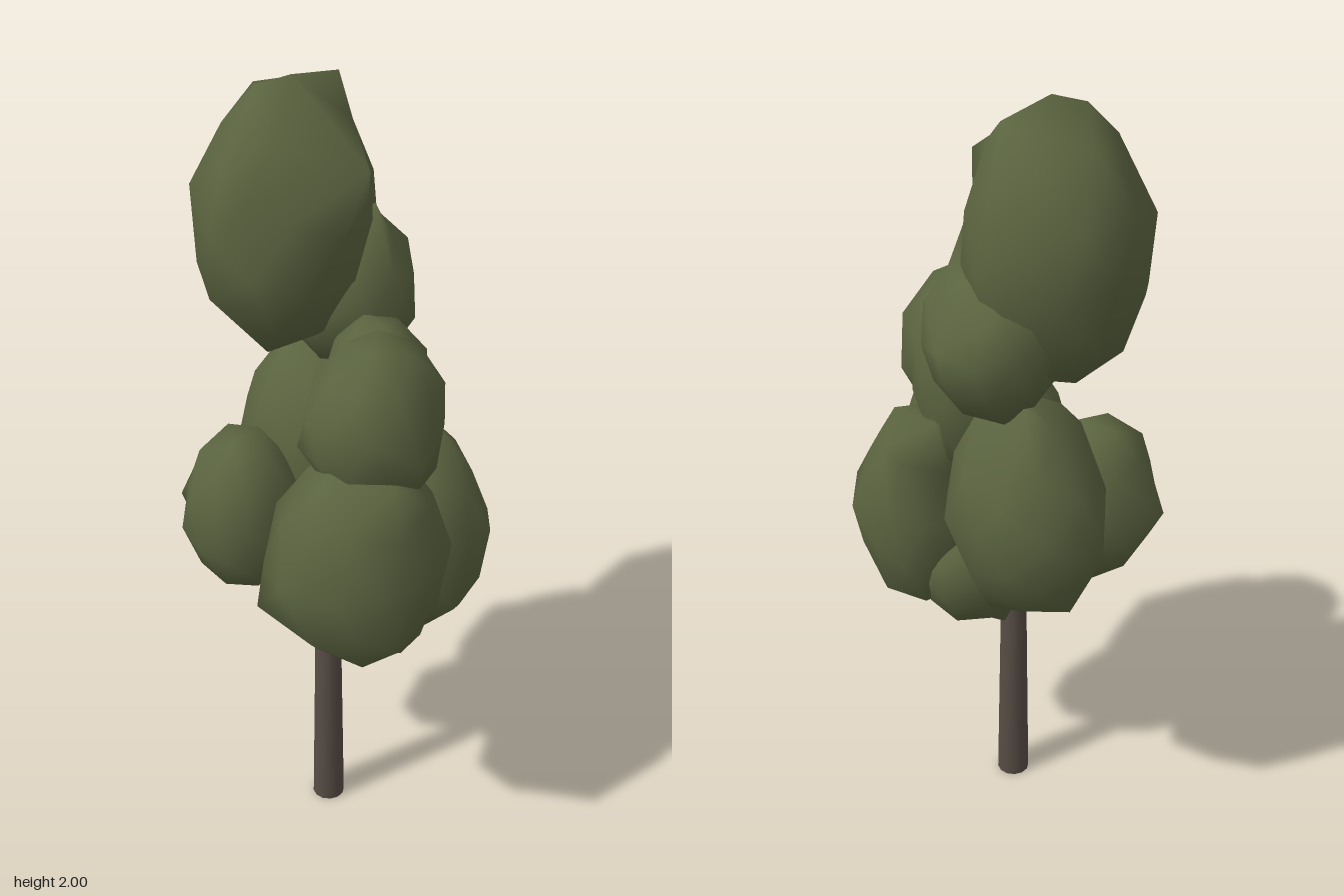
import * as THREE from 'three';
import { mergeVertices } from 'three/addons/utils/BufferGeometryUtils.js';

// Small seeded generator for the uneven leaf clumps
function seeded(seed) {
  let s = seed;
  return () => {
    s = (s * 16807) % 2147483647;
    return s / 2147483647;
  };
}

// Share corners between faces so that shading runs smoothly over them
function weld(geo) {
  geo.deleteAttribute('normal');
  geo.deleteAttribute('uv');
  return mergeVertices(geo, 1e-3);
}

// Lumpy smooth clump filling the box between lo and hi, with corners pulled to the tips
function clumpGeometry(lo, hi, tips, seed) {
  const rand = seeded(seed * 7919 + 13);
  for (let i = 0; i < 5; i++) rand();
  const geo = weld(new THREE.IcosahedronGeometry(1, 1));
  geo.rotateY(rand() * 6).rotateX(rand() * 6);

  const pos = geo.attributes.position;
  const v = new THREE.Vector3();
  for (let i = 0; i < pos.count; i++) {
    v.fromBufferAttribute(pos, i).multiplyScalar(0.93 + rand() * 0.12);
    pos.setXYZ(i, v.x, v.y, v.z);
  }

  geo.computeBoundingBox();
  const c = geo.boundingBox.getCenter(new THREE.Vector3());
  const d = geo.boundingBox.getSize(new THREE.Vector3());
  geo.translate(-c.x, -c.y, -c.z);
  geo.scale((hi[0] - lo[0]) / d.x, (hi[1] - lo[1]) / d.y, (hi[2] - lo[2]) / d.z);
  geo.translate((lo[0] + hi[0]) / 2, (lo[1] + hi[1]) / 2, (lo[2] + hi[2]) / 2);

  // Each tip takes the nearest corner that has not been moved yet
  const moved = new Set();
  for (const tip of tips) {
    const t = new THREE.Vector3(...tip);
    let best = 0;
    let bestDistance = Infinity;
    for (let i = 0; i < pos.count; i++) {
      const distance = v.fromBufferAttribute(pos, i).distanceTo(t);
      if (!moved.has(i) && distance < bestDistance) {
        best = i;
        bestDistance = distance;
      }
    }
    moved.add(best);
    pos.setXYZ(best, t.x, t.y, t.z);
  }
  geo.computeVertexNormals();
  return geo;
}

// Foliage clumps: box corners and the most prominent tips
const clumps = [
  { name: 'crownClump', lo: [-0.24, 1.31, -0.4], hi: [0.2, 1.98, 0.05], tips: [
    [-0.02, 2, -0.15], [0.12, 1.975, -0.16], [-0.23, 1.85, -0.12], [-0.25, 1.5, -0.16],
    [-0.02, 1.66, -0.41], [0.23, 1.66, -0.22], [0.05, 1.82, 0.055]] },
  { name: 'upperLeftClump', lo: [-0.03, 1.24, -0.31], hi: [0.28, 1.63, 0.06], tips: [
    [0.13, 1.69, -0.03], [0.29, 1.46, -0.15], [0.19, 1.47, -0.32]] },
  { name: 'middleFrontClump', lo: [-0.18, 1.02, 0], hi: [0.16, 1.46, 0.33], tips: [
    [0, 1.48, 0.16], [-0.19, 1.21, 0.1], [-0.01, 1.2, 0.345]] },
  { name: 'middleClump', lo: [-0.06, 1, -0.08], hi: [0.2, 1.45, 0.19], tips: [] },
  { name: 'frontClump', lo: [-0.31, 0.64, -0.01], hi: [0.14, 1.21, 0.4], tips: [
    [-0.325, 0.82, 0.12], [-0.13, 0.78, 0.42], [-0.24, 0.9, 0.33], [-0.08, 1.17, 0.33]] },
  { name: 'leftClump', lo: [0, 0.59, -0.03], hi: [0.31, 1.13, 0.29], tips: [
    [0.2, 1.17, 0], [0.28, 1.07, 0.03], [0.325, 0.88, 0.19], [0.25, 0.9, 0.29]] },
  { name: 'backClump', lo: [-0.13, 0.69, -0.41], hi: [0.25, 1.3, 0.03], tips: [
    [0.02, 1.02, -0.425], [0.25, 1, -0.25], [0.12, 1.31, -0.25]] },
  { name: 'rightClump', lo: [-0.325, 0.68, -0.29], hi: [-0.04, 1.13, 0], tips: [
    [-0.27, 0.9, -0.295]] },
  { name: 'lowerClump', lo: [-0.1, 0.55, -0.11], hi: [0.22, 0.87, 0.17], tips: [
    [0.02, 0.53, -0.03]] },
  { name: 'lowerFrontClump', lo: [-0.13, 0.57, 0.02], hi: [0.14, 0.92, 0.3], tips: [] },
];

export function createModel() {
  const tree = new THREE.Group();
  tree.name = 'tree';
  const leaf = new THREE.MeshStandardMaterial({ color: 0x5b6440 });
  leaf.name = 'leaf green';
  const bark = new THREE.MeshStandardMaterial({ color: 0x594d46 });
  bark.name = 'bark brown';

  // Slim tapering trunk with softly shaded ends
  const trunkGeometry = weld(new THREE.CylinderGeometry(0.028, 0.041, 0.9, 12));
  trunkGeometry.computeVertexNormals();
  const trunk = new THREE.Mesh(trunkGeometry, bark);
  trunk.name = 'trunk';
  trunk.position.set(-0.03, 0.45, 0);
  tree.add(trunk);

  // Overlapping foliage
  const foliage = new THREE.Group();
  foliage.name = 'foliage';
  clumps.forEach(({ name, lo, hi, tips }, i) => {
    const mesh = new THREE.Mesh(clumpGeometry(lo, hi, tips, i + 1), leaf);
    mesh.name = name;
    foliage.add(mesh);
  });
  tree.add(foliage);
  return tree;
}
